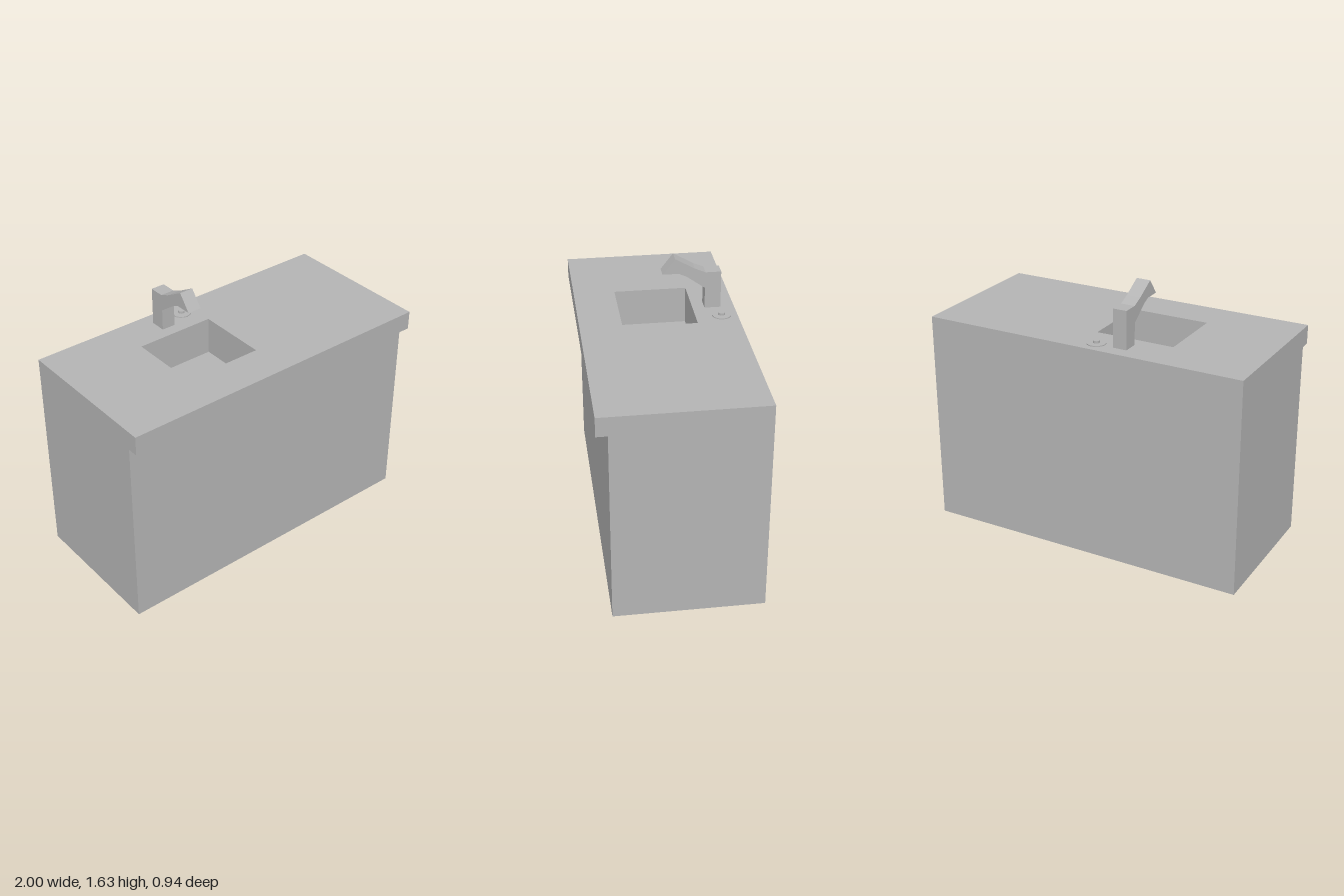
import * as THREE from 'three';

const grey = new THREE.MeshStandardMaterial({ color: 0xb4b4b4, flatShading: true });
grey.name = 'grey';

const BASIN = { x0: -0.47, x1: 0.015, z0: -0.22, z1: 0.22, floor: 1.08 };
const DRAIN = { x: -0.225, z: 0 };

function addMesh(parent, name, geometry, x = 0, y = 0, z = 0) {
  const mesh = new THREE.Mesh(geometry, grey);
  mesh.name = name;
  mesh.position.set(x, y, z);
  parent.add(mesh);
  return mesh;
}

// Points of a rectangle in plan; shape y is -z
function rectPoints(x0, x1, z0, z1) {
  return [[x0, -z1], [x1, -z1], [x1, -z0], [x0, -z0]].map(p => new THREE.Vector2(...p));
}

// Points of a regular polygon
function ngonPoints(radius, sides) {
  return Array.from({ length: sides }, (_, i) => {
    const a = ((i + 0.5) / sides) * Math.PI * 2;
    return new THREE.Vector2(Math.cos(a) * radius, Math.sin(a) * radius);
  });
}

// Horizontal slab with a hole, standing on y = 0
function slab(outline, hole, height) {
  const shape = new THREE.Shape(outline);
  shape.holes.push(new THREE.Path(hole));
  const g = new THREE.ExtrudeGeometry(shape, { depth: height, bevelEnabled: false });
  return g.rotateX(-Math.PI / 2);
}

export function createModel() {
  const model = new THREE.Group();
  model.name = 'sinkCabinet';

  // Cabinet: solid up to the basin floor, then open around the basin
  const basin = rectPoints(BASIN.x0, BASIN.x1, BASIN.z0, BASIN.z1);
  const cabinet = new THREE.Group();
  cabinet.name = 'cabinet';
  model.add(cabinet);
  addMesh(cabinet, 'cabinetBase', new THREE.BoxGeometry(2, BASIN.floor, 0.875), 0, BASIN.floor / 2, -0.0325);
  addMesh(cabinet, 'basinSurround', slab(rectPoints(-1, 1, -0.47, 0.405), basin, 1.195 - BASIN.floor), 0, BASIN.floor);

  // Countertop with a front overhang
  addMesh(model, 'countertop', slab(rectPoints(-1, 1, -0.47, 0.47), basin, 0.115), 0, 1.195);

  // Drain ring with a bar across it
  const drain = new THREE.Group();
  drain.name = 'drain';
  drain.position.set(DRAIN.x, BASIN.floor, DRAIN.z);
  model.add(drain);
  addMesh(drain, 'drainRing', slab(ngonPoints(0.055, 10), ngonPoints(0.044, 6), 0.008));
  addMesh(drain, 'drainBar', new THREE.BoxGeometry(0.008, 0.005, 0.076), 0, 0.0025, 0);

  // Faucet: side profile given as (z, y)
  const profile = [
    [-0.388, 1.31], [-0.388, 1.54], [-0.295, 1.54], [-0.23, 1.568], [-0.112, 1.635],
    [-0.038, 1.54], [-0.134, 1.54], [-0.18, 1.52], [-0.292, 1.44], [-0.292, 1.31],
  ].map(p => new THREE.Vector2(...p));
  const spout = new THREE.ExtrudeGeometry(new THREE.Shape(profile), { depth: 0.085, bevelEnabled: false });
  addMesh(model, 'faucet', spout.rotateY(-Math.PI / 2), -0.18);

  // Tap button beside the faucet
  const button = new THREE.Group();
  button.name = 'tapButton';
  button.position.set(-0.067, 1.31, -0.375);
  model.add(button);
  addMesh(button, 'buttonPlate', new THREE.CylinderGeometry(0.057, 0.057, 0.006, 16), 0, 0.003, 0);
  addMesh(button, 'buttonCap', new THREE.CylinderGeometry(0.02, 0.02, 0.014, 12), 0, 0.013, 0);

  return model;
}
